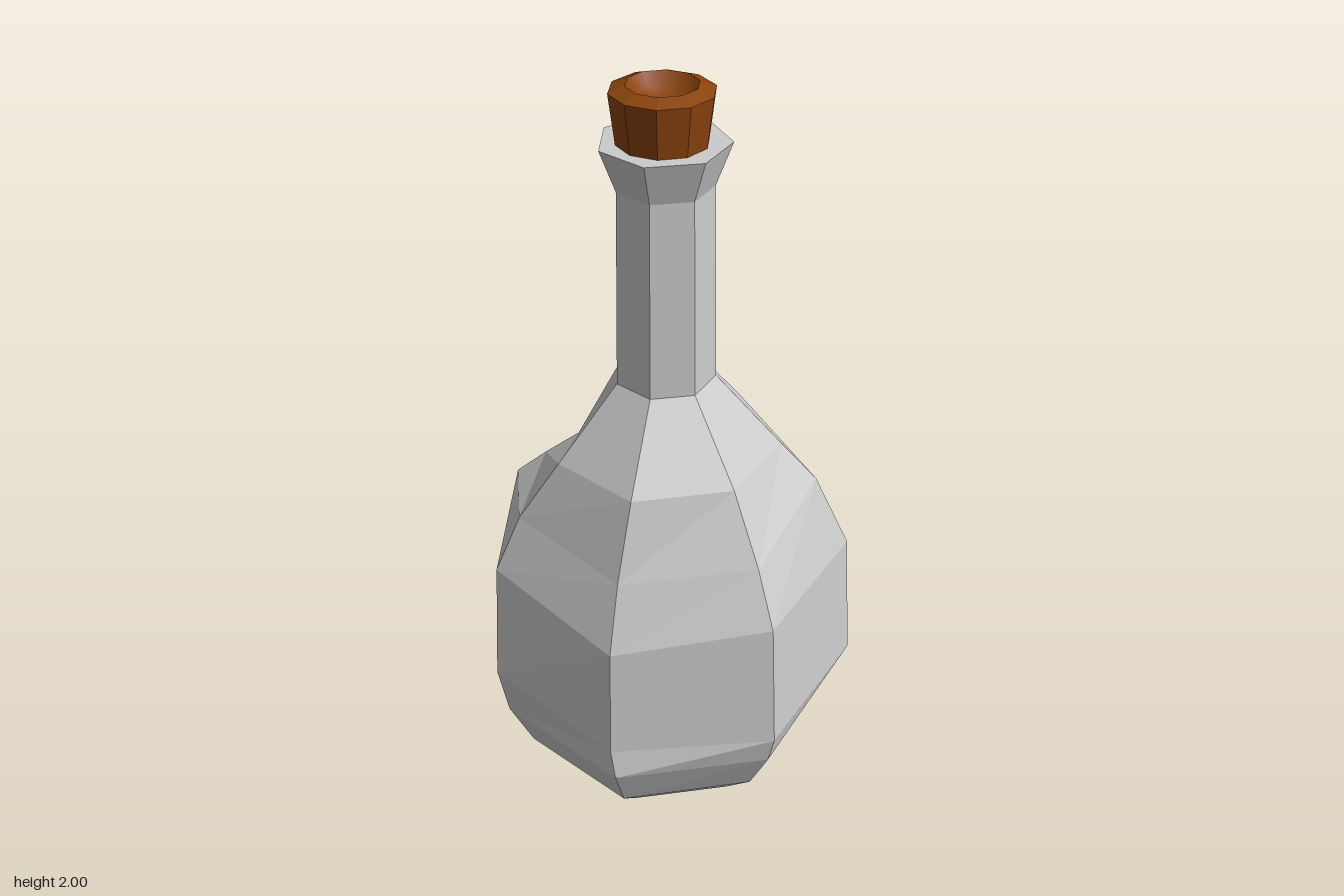
import * as THREE from 'three';

const SIDES = 7;
const CENTER_X = -0.03;

// A point on a regular seven-sided ring
function ringPoint(k, r, y) {
  const a = (k / SIDES) * Math.PI * 2;
  return [CENTER_X + r * Math.cos(a), y, r * Math.sin(a)];
}

// Uneven, hand-cut belly: one upright chain of points [x, y, z] per corner
const belly = [
  [[0.295, 0.15, 0], [0.365, 0.29, 0], [0.39, 0.45, 0], [0.475, 0.695, 0], [0.405, 0.84, 0], [0.265, 1.04, 0]],
  [[0.225, 0.12, 0.31], [0.275, 0.26, 0.36], [0.313, 0.33, 0.387], [0.297, 0.7, 0.37], [0.22, 0.92, 0.31], [0.158, 1.03, 0.237]],
  [[-0.12, 0.12, 0.39], [-0.135, 0.26, 0.46], [-0.14, 0.345, 0.482], [-0.137, 0.705, 0.46], [-0.115, 0.85, 0.39], [-0.09, 1.03, 0.285]],
  [[-0.395, 0.12, 0.175], [-0.455, 0.26, 0.203], [-0.452, 0.34, 0.185], [-0.43, 0.645, 0.17], [-0.365, 0.82, 0.14], [-0.295, 1.03, 0.125]],
  [[-0.395, 0.12, -0.175], [-0.455, 0.26, -0.2], [-0.476, 0.4, -0.215], [-0.43, 0.71, -0.24], [-0.365, 0.86, -0.21], [-0.295, 1.03, -0.127]],
  [[-0.12, 0.12, -0.39], [-0.135, 0.26, -0.465], [-0.14, 0.41, -0.482], [-0.135, 0.78, -0.46], [-0.09, 0.85, -0.39], [-0.063, 0.945, -0.285]],
  [[0.2, 0.15, -0.325], [0.24, 0.29, -0.37], [0.252, 0.44, -0.387], [0.265, 0.78, -0.37], [0.255, 0.86, -0.315], [0.185, 0.96, -0.23]],
];

// Regular rings below and above the belly: [radius, height]
const foot = [[0.001, 0.008], [0.2, 0], [0.29, 0.01]];
const neck = [[0.13, 1.23], [0.122, 1.75], [0.163, 1.86], [0.001, 1.86]];

function bottleGeometry() {
  const columns = belly.map((chain, k) => [
    ...foot.map(([r, y]) => ringPoint(k, r, y)),
    ...chain,
    ...neck.map(([r, y]) => ringPoint(k, r, y)),
  ]);
  const positions = [];
  columns.forEach((col, k) => {
    const next = columns[(k + 1) % SIDES];
    for (let i = 0; i < col.length - 1; i++) {
      positions.push(...col[i], ...col[i + 1], ...next[i]);
      positions.push(...next[i], ...col[i + 1], ...next[i + 1]);
    }
  });
  const geometry = new THREE.BufferGeometry();
  geometry.setAttribute('position', new THREE.Float32BufferAttribute(positions, 3));
  geometry.computeVertexNormals();
  return geometry;
}

// Ten-sided turned piece of the stopper
function turned(name, profile, flatShading) {
  const points = profile.map(([r, y]) => new THREE.Vector2(r, y));
  const mesh = new THREE.Mesh(
    new THREE.LatheGeometry(points, 10),
    new THREE.MeshStandardMaterial({ color: 0x8a430d, flatShading })
  );
  mesh.name = name;
  mesh.rotation.y = Math.PI / 2;
  mesh.position.x = -0.035;
  return mesh;
}

export function createModel() {
  const model = new THREE.Group();
  model.name = 'corkedBottle';

  const bottle = new THREE.Mesh(
    bottleGeometry(),
    new THREE.MeshStandardMaterial({ color: 0xcccccc, flatShading: true })
  );
  bottle.name = 'bottle';

  // Stopper with a bevelled rim and a shallow hollow in its top
  const cork = new THREE.Group();
  cork.name = 'cork';
  cork.add(
    turned('corkBody', [[0, 1.84], [0.11, 1.84], [0.128, 1.985], [0.088, 2]], true),
    turned('corkHollow', [[0.088, 2], [0.065, 1.972], [0.035, 1.956], [0, 1.95]], false)
  );

  model.add(bottle, cork);
  return model;
}
